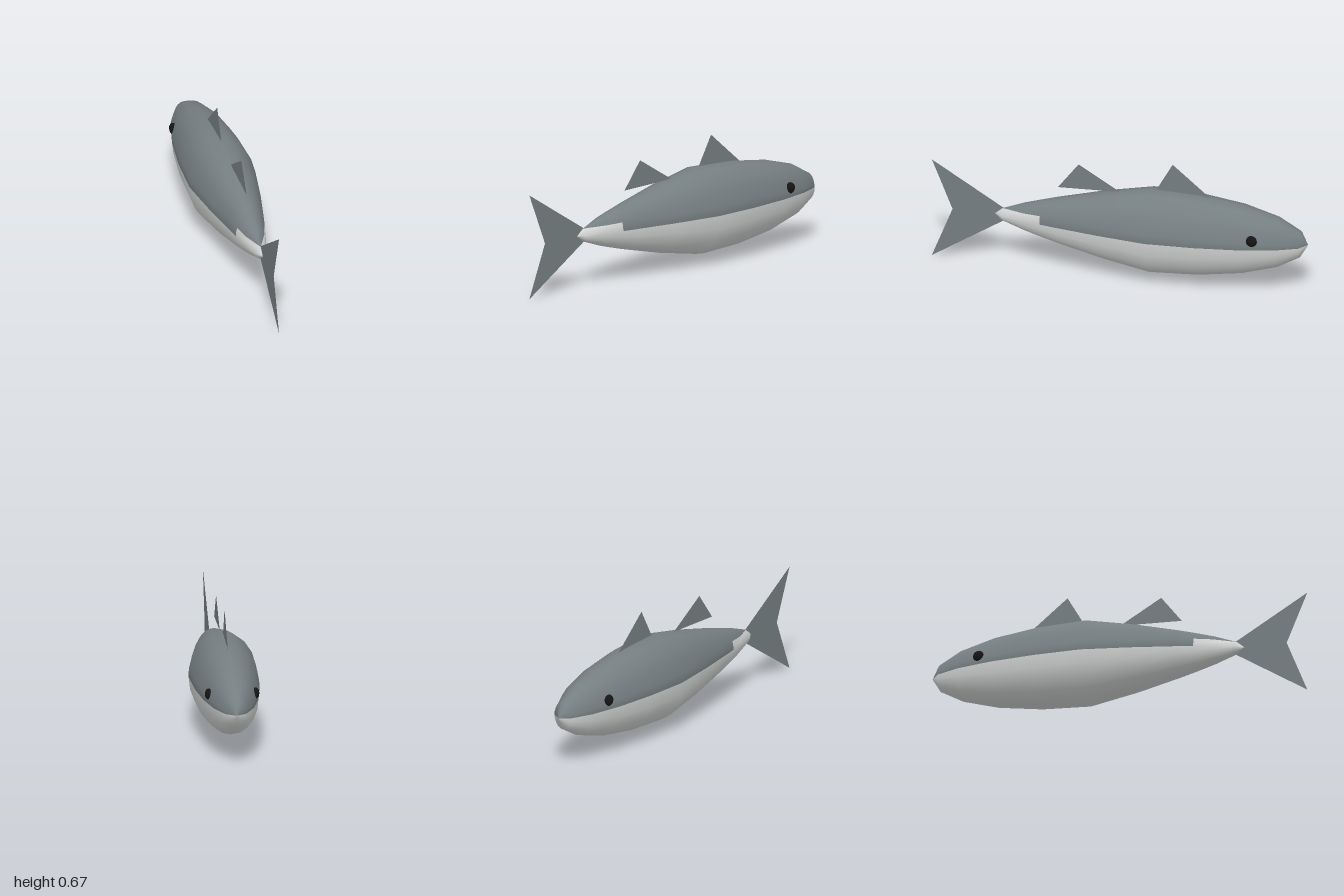
import * as THREE from 'three';

const grey = new THREE.MeshStandardMaterial({ color: 0x757e81, side: THREE.DoubleSide });
grey.name = 'back grey';
const pale = new THREE.MeshStandardMaterial({ color: 0xd2d5d3 });
pale.name = 'belly pale';
const black = new THREE.MeshStandardMaterial({ color: 0x151515 });
black.name = 'eye black';

const MID_Y = 0.28, MID_Z = -0.168, HALF_W = 0.178, HALF_H = 0.233, HALF_L = 0.832;

// Ellipsoid body that tapers towards the tail; grey above, pale below
function bodyGeometry() {
  const ts = [];
  for (let k = 0; k <= 10; k++) ts.push(-Math.cos((k * Math.PI) / 10));
  const patchT = 0.695; // where the pale tail patch begins
  ts.push(patchT);
  ts.sort((a, b) => a - b);

  const positions = [], columns = 22;
  for (const t of ts) {
    const r = Math.sqrt(Math.max(0, 1 - t * t)) * (t > 0 ? 1 - 0.55 * t : 1);
    // angle of the patch's upper edge, at a near constant height
    const patchY = 0.045 - 0.012 * Math.max(0, (t - patchT) / 0.3);
    const a = t <= 0 ? 0.2 : Math.asin(Math.min(1, patchY / Math.max(HALF_H * r, 1e-4)));
    for (let j = 0; j < columns; j++) {
      let angle;
      if (j < 2) angle = (a * j) / 2;
      else if (j < 10) angle = a + ((Math.PI - 2 * a) * (j - 2)) / 8;
      else if (j < 12) angle = Math.PI - a + (a * (j - 10)) / 2;
      else angle = Math.PI * (1 + (j - 12) / 10);
      positions.push(HALF_W * r * Math.cos(angle), MID_Y + HALF_H * r * Math.sin(angle), MID_Z + HALF_L * t);
    }
  }

  const upper = [], lower = [];
  for (let i = 0; i < ts.length - 1; i++) {
    for (let j = 0; j < columns; j++) {
      const n = (j + 1) % columns;
      const a = i * columns + j, b = i * columns + n;
      const c = a + columns, d = b + columns;
      const side = j < 2 || j === 10 || j === 11;
      const list = j >= 12 || (side && ts[i] >= patchT) ? lower : upper;
      if (i > 0) list.push(a, b, c);
      if (i < ts.length - 2) list.push(b, d, c);
      else list.push(a, b, d);
    }
  }
  const geometry = new THREE.BufferGeometry();
  geometry.setAttribute('position', new THREE.Float32BufferAttribute(positions, 3));
  geometry.setIndex([...upper, ...lower]);
  geometry.addGroup(0, upper.length, 0);
  geometry.addGroup(upper.length, lower.length, 1);
  geometry.computeVertexNormals();
  return geometry;
}

// Flat fin in the middle plane, outlined by [z, y] points
function fin(name, points) {
  const shape = new THREE.Shape(points.map(([z, y]) => new THREE.Vector2(-z, y)));
  const mesh = new THREE.Mesh(new THREE.ShapeGeometry(shape).rotateY(Math.PI / 2), grey);
  mesh.name = name;
  return mesh;
}

export function createModel() {
  const group = new THREE.Group();
  group.name = 'fish';

  const body = new THREE.Mesh(bodyGeometry(), [grey, pale]);
  body.name = 'body';
  group.add(body);

  group.add(
    fin('tailFin', [[0.56, 0.28], [1, 0.555], [0.89, 0.28], [1, 0]]),
    fin('frontDorsalFin', [[-0.19, 0.505], [-0.28, 0.665], [-0.48, 0.493]]),
    fin('rearDorsalFin', [[0.33, 0.468], [0.22, 0.612], [0, 0.476]])
  );

  // Eyes
  for (const s of [1, -1]) {
    const eye = new THREE.Mesh(new THREE.SphereGeometry(0.03, 12, 8), black);
    eye.name = s > 0 ? 'leftEye' : 'rightEye';
    eye.position.set(s * 0.121, 0.328, -0.725);
    eye.scale.x = 0.7;
    group.add(eye);
  }
  return group;
}
